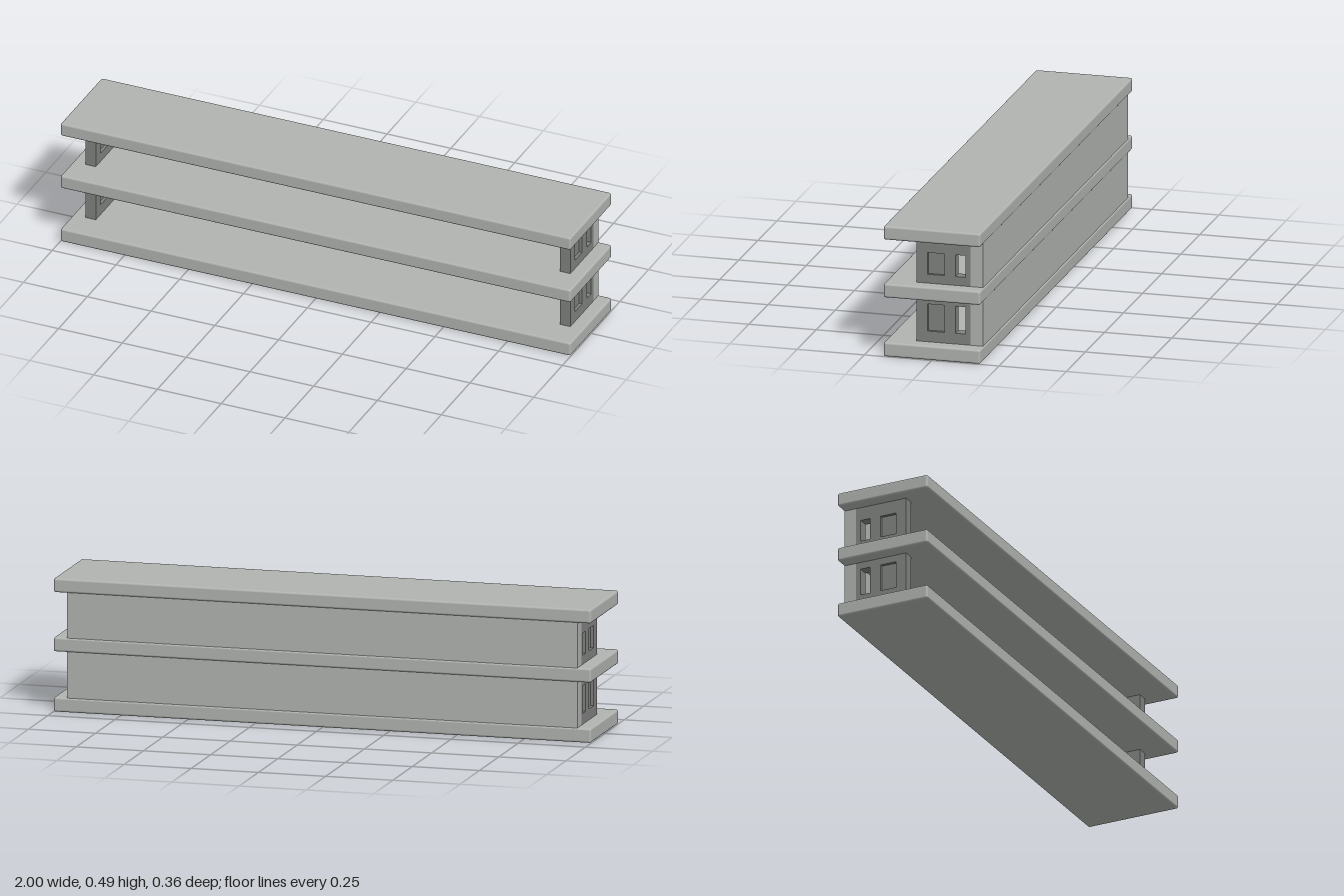
import * as THREE from 'three';
import { RoundedBoxGeometry } from 'three/addons/geometries/RoundedBoxGeometry.js';

const lightGrey = new THREE.MeshStandardMaterial({ color: 0xb0b3b0 });
lightGrey.name = 'lightGrey';
const darkGrey = new THREE.MeshStandardMaterial({ color: 0x808280 });
darkGrey.name = 'darkGrey';

// Box given by its minimum and maximum corners, with an optional rounded edge
function block(name, material, [x0, y0, z0], [x1, y1, z1], radius = 0) {
  const size = [x1 - x0, y1 - y0, z1 - z0];
  const geometry = radius
    ? new RoundedBoxGeometry(...size, 3, radius)
    : new THREE.BoxGeometry(...size);
  const mesh = new THREE.Mesh(geometry, material);
  mesh.name = name;
  mesh.position.set((x0 + x1) / 2, (y0 + y1) / 2, (z0 + z1) / 2);
  return mesh;
}

// Rectangle in the side plane, where shape x runs along model z
function rectangle(Type, z0, z1, y0, y1) {
  return new Type([[z0, y0], [z1, y0], [z1, y1], [z0, y1]].map(p => new THREE.Vector2(...p)));
}

export function createModel() {
  const model = new THREE.Group();
  model.name = 'shelfUnit';

  // Three long shelves
  const shelves = [
    ['bottomShelf', 0, 0.053],
    ['middleShelf', 0.22, 0.272],
    ['topShelf', 0.436, 0.487],
  ];
  for (const [name, y0, y1] of shelves) {
    model.add(block(name, lightGrey, [-1, y0, -0.18], [1, y1, 0.18], 0.008));
  }

  // Back and end panels on each of the two storeys
  const storeys = [
    { name: 'lower', y0: 0.05, y1: 0.223, w0: 0.093, w1: 0.194 },
    { name: 'upper', y0: 0.269, y1: 0.439, w0: 0.305, w1: 0.386 },
  ];
  for (const { name, y0, y1, w0, w1 } of storeys) {
    model.add(block(name + 'BackPanel', lightGrey, [-0.95, y0, -0.176], [0.95, y1, -0.13]));

    for (const side of [-1, 1]) {
      const end = new THREE.Group();
      end.name = name + (side > 0 ? 'LeftEnd' : 'RightEnd');

      // Frame with an open slot at the rear and a recessed panel in front
      const shape = rectangle(THREE.Shape, -0.13, 0.07, y0, y1);
      shape.holes.push(
        rectangle(THREE.Path, -0.112, -0.074, w0, w1),
        rectangle(THREE.Path, -0.033, 0.03, w0, w1),
      );
      const geometry = new THREE.ExtrudeGeometry(shape, { depth: 0.04, bevelEnabled: false });
      geometry.rotateY(-Math.PI / 2);
      geometry.translate(0.02, 0, 0);
      const frame = new THREE.Mesh(geometry, darkGrey);
      frame.name = 'endFrame';
      frame.position.x = side * 0.93;

      const x = side * 0.93;
      const inset = block('recessedPanel', darkGrey, [x - 0.008, w0, -0.033], [x + 0.008, w1, 0.03]);
      end.add(frame, inset);
      model.add(end);
    }
  }
  return model;
}
